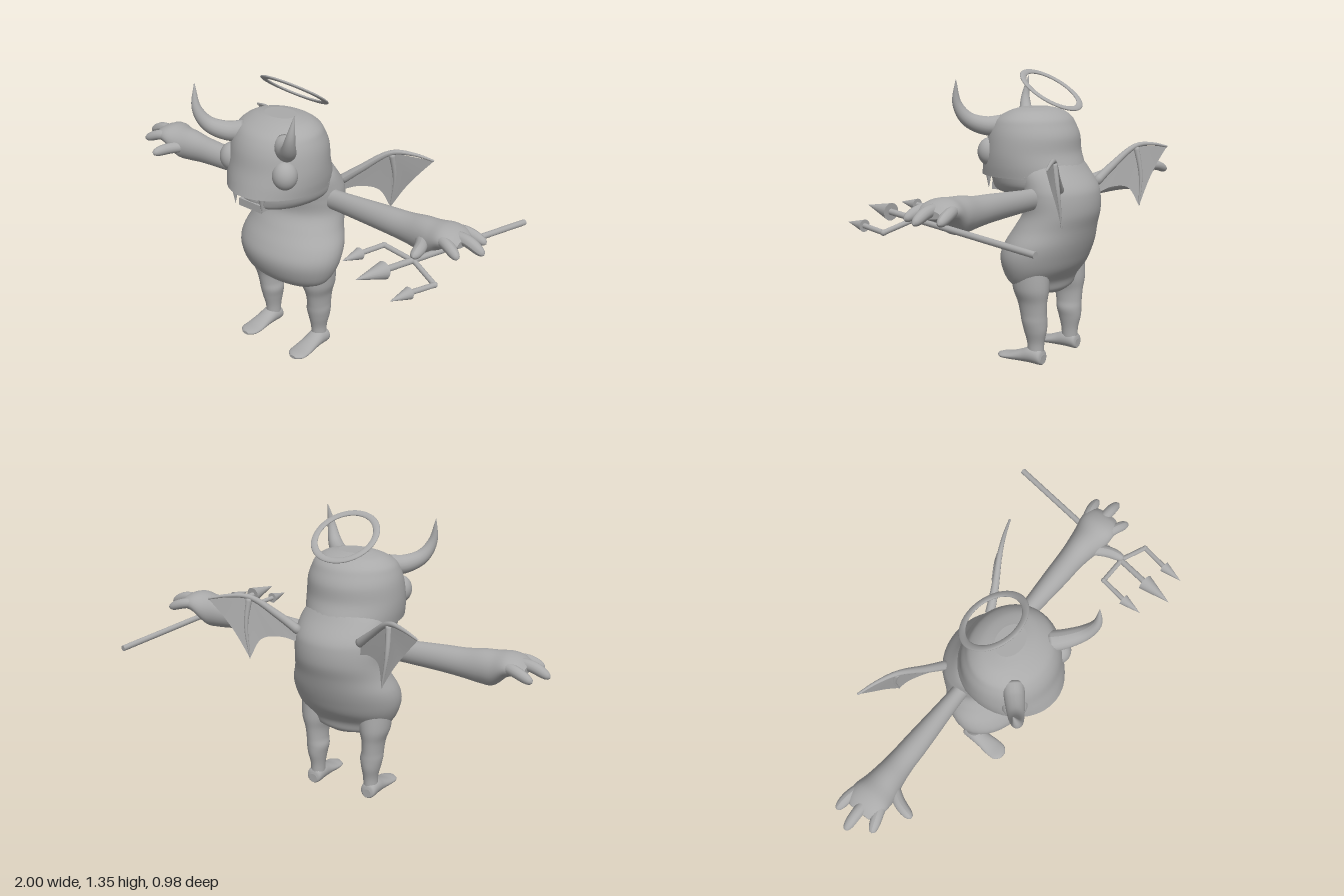
import * as THREE from 'three';

const V = (p) => new THREE.Vector3(...p);
const skin = new THREE.MeshStandardMaterial({ color: 0xaaaaaa });
skin.name = 'plain grey';
const skinThin = skin.clone();
skinThin.side = THREE.DoubleSide;

// Smooth loft through elliptical rings [cx, cy, cz, a, b], stacked upwards along one axis
function loft(axis, rings, n = 32, steps = 6) {
  const [u, v] = { x: [1, 2], y: [2, 0], z: [0, 1] }[axis];
  const pos = [], idx = [], rows = [];
  const at = (i) => rings[Math.max(0, Math.min(rings.length - 1, i))];
  for (let i = 0; i < rings.length - 1; i++) {
    for (let s = 0; s < steps; s++) {
      const t = s / steps;
      rows.push(at(i).map((p1, k) => {
        const p0 = at(i - 1)[k], p2 = at(i + 1)[k], p3 = at(i + 2)[k];
        return 0.5 * (2 * p1 + (p2 - p0) * t + (2 * p0 - 5 * p1 + 4 * p2 - p3) * t * t
          + (3 * p1 - p0 - 3 * p2 + p3) * t * t * t);
      }));
    }
  }
  rows.push(at(rings.length));
  const ring = (r) => {
    const first = pos.length / 3;
    for (let j = 0; j < n; j++) {
      const a = (j / n) * Math.PI * 2, p = [r[0], r[1], r[2]];
      p[u] += r[3] * Math.cos(a);
      p[v] += r[4] * Math.sin(a);
      pos.push(...p);
    }
    return first;
  };
  rows.forEach(ring);
  for (let i = 0; i < rows.length - 1; i++) {
    for (let j = 0; j < n; j++) {
      const a = i * n + j, b = i * n + (j + 1) % n;
      idx.push(a, b, b + n, a, b + n, a + n);
    }
  }
  // Flat end caps with their own corners
  [rows[0], rows[rows.length - 1]].forEach((r, end) => {
    const f = ring(r), c = pos.length / 3;
    pos.push(r[0], r[1], r[2]);
    for (let j = 0; j < n; j++) {
      const a = f + j, b = f + (j + 1) % n;
      idx.push(c, end ? a : b, end ? b : a);
    }
  });
  return surface(pos, idx);
}

function surface(pos, idx) {
  const g = new THREE.BufferGeometry();
  g.setAttribute('position', new THREE.Float32BufferAttribute(pos, 3));
  g.setIndex(idx);
  g.computeVertexNormals();
  return g;
}

// Round bar along a curve, with its radius set by a rule of t
function taper(points, radius, seg = 28, sides = 14) {
  const curve = new THREE.CatmullRomCurve3(points.map(V));
  const g = new THREE.TubeGeometry(curve, seg, 1, sides);
  const p = g.attributes.position, q = new THREE.Vector3();
  for (let i = 0; i < p.count; i++) {
    const t = Math.floor(i / (sides + 1)) / seg, c = curve.getPointAt(t);
    q.fromBufferAttribute(p, i).sub(c).multiplyScalar(t === 0 ? 0 : radius(t)).add(c);
    p.setXYZ(i, q.x, q.y, q.z);
  }
  g.computeVertexNormals();
  return g;
}
const finger = (r) => (t) => r * Math.sqrt(Math.max(0, 1 - t ** 6));

function mirrored(g) {
  const m = g.clone().scale(-1, 1, 1), ix = m.index;
  for (let i = 0; i < ix.count; i += 3) {
    const b = ix.getX(i + 1);
    ix.setX(i + 1, ix.getX(i + 2));
    ix.setX(i + 2, b);
  }
  return m;
}

export function createModel() {
  const model = new THREE.Group();
  const add = (name, g, mat = skin) => {
    const m = new THREE.Mesh(g, mat);
    m.name = name;
    model.add(m);
    return m;
  };
  const pair = (name, g, mat) => {
    add(name + 'Left', g, mat);
    add(name + 'Right', mirrored(g), mat);
  };
  // Horizontal ring from [y, front z, back z, half width]
  const slab = ([y, f, b, w]) => [0, y, (f + b) / 2, (f - b) / 2, w];

  // Body and head
  add('torso', loft('y', [
    [0.325, 0.08, -0.03, 0.08], [0.345, 0.13, -0.05, 0.17], [0.39, 0.19, -0.065, 0.225],
    [0.45, 0.222, -0.11, 0.258], [0.51, 0.23, -0.138, 0.272], [0.57, 0.208, -0.16, 0.265],
    [0.64, 0.165, -0.18, 0.235], [0.71, 0.125, -0.2, 0.217], [0.78, 0.13, -0.2, 0.217],
    [0.83, 0.14, -0.185, 0.215], [0.9, 0.15, -0.135, 0.2], [0.96, 0.12, -0.1, 0.15]].map(slab), 40));
  add('head', loft('y', [
    [0.87, 0.37, -0.14, 0.222], [0.92, 0.357, -0.122, 0.23], [0.98, 0.34, -0.1, 0.232],
    [1.05, 0.325, -0.093, 0.225], [1.1, 0.303, -0.072, 0.21], [1.135, 0.272, -0.05, 0.19],
    [1.165, 0.215, -0.005, 0.145], [1.18, 0.17, 0.05, 0.08]].map(slab), 40));
  add('jaw', loft('y', [
    [0.78, 0.23, -0.1, 0.11], [0.795, 0.295, -0.13, 0.165],
    [0.83, 0.31, -0.15, 0.205], [0.88, 0.315, -0.14, 0.218]].map(slab), 40));
  add('lowerLip', new THREE.BoxGeometry(0.13, 0.035, 0.06).translate(0, 0.805, 0.285));
  add('teeth', new THREE.BoxGeometry(0.12, 0.02, 0.03).translate(0, 0.86, 0.325));
  pair('fang', new THREE.ConeGeometry(0.017, 0.085, 14).rotateX(Math.PI).translate(0.08, 0.835, 0.322));
  pair('eye', new THREE.SphereGeometry(0.057, 28, 20).scale(1, 1.15, 1).translate(0.156, 0.978, 0.257));
  pair('horn', taper([[0.11, 1.1, 0.21], [0.17, 1.097, 0.265], [0.235, 1.13, 0.322],
    [0.272, 1.2, 0.352], [0.29, 1.31, 0.343]], (t) => 0.046 * (1 - t ** 1.7) + 0.001, 36, 18));
  add('halo', new THREE.TorusGeometry(0.145, 0.016, 12, 56).scale(1, 1, 0.4)
    .rotateX(-Math.PI / 2 - 0.588).translate(0, 1.26, 0.02));

  // Arms and hands
  pair('arm', loft('x', [
    [0.17, 0.785, -0.01, 0.05, 0.04], [0.25, 0.785, -0.008, 0.049, 0.038], [0.5, 0.79, -0.005, 0.06, 0.054],
    [0.62, 0.79, -0.005, 0.067, 0.06], [0.7, 0.792, -0.003, 0.077, 0.07], [0.76, 0.795, 0, 0.077, 0.082],
    [0.82, 0.823, 0, 0.053, 0.09], [0.87, 0.825, 0, 0.038, 0.083], [0.905, 0.82, 0, 0.018, 0.055]], 28));
  pair('frontFinger', taper([[0.8, 0.83, 0.05], [0.87, 0.825, 0.075], [0.94, 0.795, 0.098]], finger(0.025)));
  pair('middleFinger', taper([[0.82, 0.835, 0], [0.92, 0.83, 0], [1, 0.795, 0]], finger(0.026)));
  pair('backFinger', taper([[0.8, 0.83, -0.05], [0.87, 0.825, -0.074], [0.955, 0.795, -0.088]], finger(0.025)));
  pair('thumb', taper([[0.72, 0.79, 0.03], [0.765, 0.79, 0.11], [0.785, 0.785, 0.19]], finger(0.027)));

  // Legs and feet
  pair('leg', loft('y', [
    [0.15, 0.03, 0.012, 0.04, 0.036], [0.148, 0.1, 0.012, 0.042, 0.034], [0.15, 0.16, 0.013, 0.056, 0.045],
    [0.15, 0.205, 0.017, 0.063, 0.053], [0.154, 0.245, 0.02, 0.066, 0.05], [0.157, 0.3, 0.024, 0.074, 0.054],
    [0.158, 0.36, 0.03, 0.088, 0.072], [0.155, 0.44, 0.035, 0.09, 0.08]], 24));
  pair('foot', loft('z', [
    [0.152, 0.03, -0.032, 0.022, 0.022], [0.152, 0.04, -0.02, 0.038, 0.037], [0.152, 0.045, 0.03, 0.042, 0.04],
    [0.153, 0.036, 0.08, 0.043, 0.03], [0.154, 0.026, 0.14, 0.048, 0.019], [0.155, 0.023, 0.185, 0.044, 0.014],
    [0.155, 0.022, 0.21, 0.018, 0.008]], 24));

  // Wings: bones and scalloped skin fanned out from the wrist
  const wrist = [0.36, 0.985, -0.225], low = [0.345, 0.7, -0.255], tip = [0.535, 0.97, -0.302];
  const root = [0.15, 0.82, -0.12];
  pair('wingBone', taper([root, [0.24, 0.895, -0.16], wrist, [0.45, 0.988, -0.268], tip],
    (t) => 0.018 * (1 - t) + 0.005));
  pair('wingStrut', taper([wrist, [0.365, 0.85, -0.25], low], (t) => 0.012 * (1 - t) + 0.003));
  const edge = [
    ...new THREE.CatmullRomCurve3([tip, [0.465, 0.885, -0.28], [0.41, 0.81, -0.268], low].map(V)).getPoints(16),
    ...new THREE.CatmullRomCurve3([low, [0.305, 0.79, -0.215], [0.23, 0.8, -0.17], [0.15, 0.77, -0.125]].map(V))
      .getPoints(16), V(root)];
  const fan = [];
  for (let i = 1; i < edge.length; i++) fan.push(0, i, i + 1);
  pair('wingSkin', surface([...wrist, ...edge.flatMap((p) => p.toArray())], fan), skinThin);

  // Trident
  const trident = new THREE.Group();
  trident.name = 'trident';
  model.add(trident);
  const rod = (name, a, b, r0, r1 = r0) => {
    const d = V(b).sub(V(a));
    const m = add(name, new THREE.CylinderGeometry(r1, r0, d.length(), 18));
    m.position.copy(V(a)).addScaledVector(d, 0.5);
    m.quaternion.setFromUnitVectors(new THREE.Vector3(0, 1, 0), d.normalize());
    trident.add(m);
  };
  const joint = [0.788, 0.765, 0.18], neck = [0.75, 0.777, 0.335];
  rod('shaft', [0.9, 0.718, -0.495], neck, 0.0135);
  rod('middlePoint', neck, [0.727, 0.79, 0.485], 0.038, 0);
  const prongs = [
    [[0.635, 0.785, 0.18], [0.61, 0.79, 0.31], [0.6, 0.793, 0.41]],
    [[0.92, 0.728, 0.225], [0.89, 0.738, 0.355], [0.875, 0.742, 0.46]]];
  for (const [corner, base, end] of prongs) {
    rod('crossbar', joint, corner, 0.011);
    rod('prong', corner, base, 0.011);
    rod('sidePoint', base, end, 0.026, 0);
    const elbow = add('elbow', new THREE.SphereGeometry(0.0125, 14, 10).translate(...corner));
    trident.add(elbow);
  }
  return model;
}
